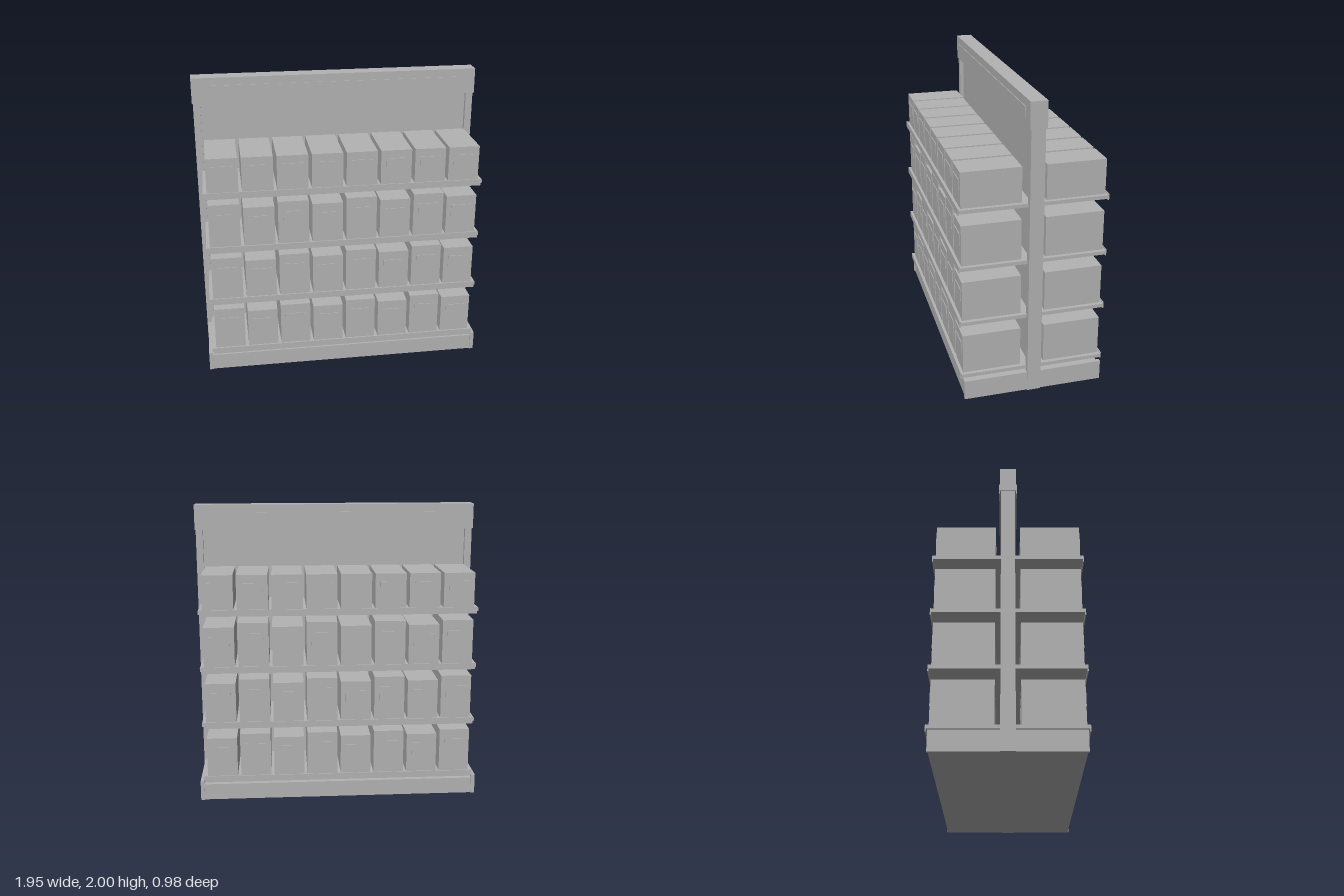
import * as THREE from 'three';

export function createModel() {
  const group = new THREE.Group();
  const grey = new THREE.MeshStandardMaterial({ color: 0xb3b3b3 });
  grey.name = 'grey';

  // box given by its min and max corners
  const block = (name, x0, x1, y0, y1, z0, z1) => {
    const mesh = new THREE.Mesh(new THREE.BoxGeometry(x1 - x0, y1 - y0, z1 - z0), grey);
    mesh.position.set((x0 + x1) / 2, (y0 + y1) / 2, (z0 + z1) / 2);
    mesh.name = name;
    group.add(mesh);
  };
  // the same box on the front (side 1) or the back (side -1)
  const sideBlock = (name, side, x0, x1, y0, y1, z0, z1) =>
    side > 0 ? block(name, x0, x1, y0, y1, z0, z1) : block(name, x0, x1, y0, y1, -z1, -z0);

  // frame
  block('base', -0.935, 0.935, 0, 0.112, -0.465, 0.465);
  block('backPanel', -0.925, 0.925, 0.11, 1.83, -0.02, 0.02);
  block('header', -0.975, 0.975, 1.826, 2, -0.055, 0.055);
  for (const s of [-1, 1]) {
    block('post', s * 0.945 - 0.024, s * 0.945 + 0.024, 0, 1.828, -0.046, 0.046);
    block('baseEnd', s * 0.948 - 0.013, s * 0.948 + 0.013, 0, 0.136, -0.472, 0.472);
  }

  const count = 8, pitch = 0.23, width = 0.207;
  for (const side of [1, -1]) {
    sideBlock('headerPlate', side, -0.88, 0.88, 1.87, 1.947, 0.055, 0.06);

    for (let row = 0; row < 4; row++) {
      // shelf with its front lip
      const y = 0.175 + row * 0.389;
      sideBlock('shelf', side, -0.935, 0.935, y - 0.025, y, 0.02, 0.483);
      sideBlock('shelfLip', side, -0.926, 0.926, y - 0.038, y + 0.006, 0.483, 0.49);

      // cartons, alternately tall and short except on the top shelf
      for (let i = 0; i < count; i++) {
        const x = (i - (count - 1) / 2) * pitch;
        const h = row === 3 ? 0.235 : i % 2 ? 0.273 : 0.302;
        sideBlock('carton', side, x - width / 2, x + width / 2, y, y + h, 0.08, 0.469);
        sideBlock('cartonLabel', side, x - 0.07, x + 0.07, y + h * 0.47, y + h * 0.77, 0.469, 0.474);
      }
    }
  }
  return group;
}
